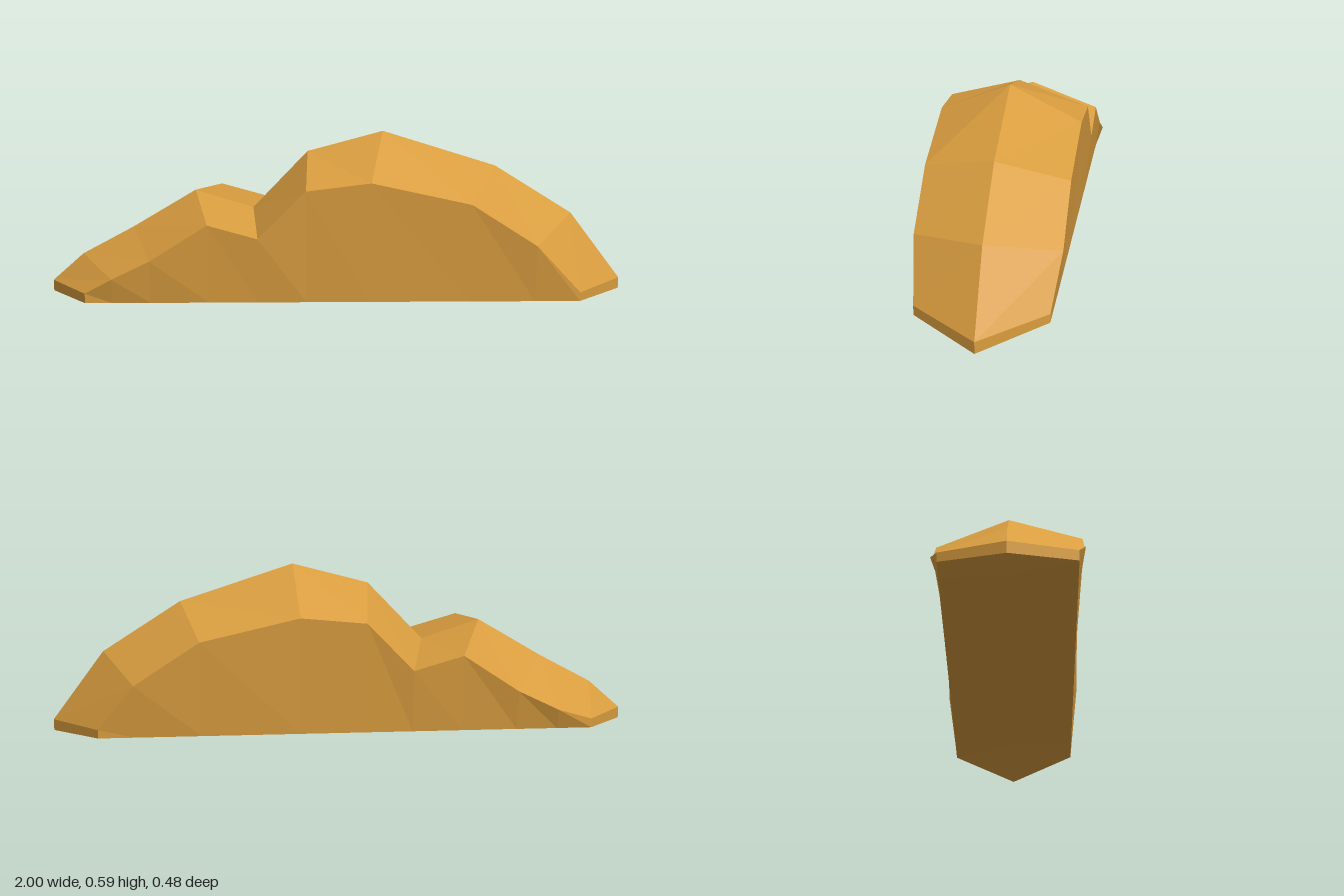
import * as THREE from 'three';

export function createModel() {
  const ochre = new THREE.MeshStandardMaterial({ color: 0xd99d3f });
  ochre.name = 'ochre';

  // Stations from the low end to the tall end: [x, y]
  const ridge = [[-1, 0.04], [-0.89, 0.14], [-0.71, 0.24], [-0.49, 0.375], [-0.29, 0.31],
    [-0.1, 0.515], [0.16, 0.587], [0.55, 0.46], [0.82, 0.285], [1, 0.04]];
  const front = [[-0.865, 0.075], [-0.77, 0.135], [-0.64, 0.2], [-0.44, 0.33], [-0.27, 0.28],
    [-0.105, 0.45], [0.115, 0.478], [0.455, 0.4], [0.68, 0.25], [0.835, 0.072]];
  const back = [[-0.86, 0.072], [-0.74, 0.115], [-0.6, 0.185], [-0.41, 0.315], [-0.24, 0.265],
    [-0.08, 0.435], [0.145, 0.458], [0.485, 0.38], [0.71, 0.232], [0.835, 0.07]];
  const last = ridge.length - 1;

  // Six-point cross-section: ridge, front shoulder, front base, keel, back base, back shoulder
  const rings = ridge.map(([x, y], i) => {
    const end = i === 0 || i === last;
    const [fx, fy] = front[i], [bx, by] = back[i];
    const keelX = end ? x : THREE.MathUtils.clamp(x, -0.77, 0.7);
    return [
      [x, y, 0],
      [fx, fy, end ? 0.219 : 0.242],
      [fx, 0.04, 0.219],
      [keelX, end ? 0 : 0.04, 0],
      [bx, 0.04, -0.216],
      [bx, by, end ? -0.216 : -0.242],
    ];
  });

  // Helper: mesh of flat quads
  const quadMesh = (name, quads) => {
    const pos = quads.flatMap(([a, b, c, d]) => [a, b, c, a, c, d]).flat();
    const geo = new THREE.BufferGeometry();
    geo.setAttribute('position', new THREE.Float32BufferAttribute(pos, 3));
    geo.computeVertexNormals();
    const mesh = new THREE.Mesh(geo, ochre);
    mesh.name = name;
    return mesh;
  };

  // Strip of quads along the length between two section points
  const strip = (j) => {
    const k = (j + 1) % 6, quads = [];
    for (let i = 0; i < last; i++) {
      quads.push([rings[i][j], rings[i][k], rings[i + 1][k], rings[i + 1][j]]);
    }
    return quads;
  };

  // Pointed ends
  const [a, b] = [rings[0], rings[last]];
  const lowTip = [[a[0], a[3], a[2], a[1]], [a[0], a[5], a[4], a[3]]];
  const tallTip = [[b[0], b[1], b[2], b[3]], [b[0], b[3], b[4], b[5]]];

  const group = new THREE.Group();
  group.name = 'humpedBlock';
  group.add(
    quadMesh('frontSlope', strip(0)),
    quadMesh('frontSide', strip(1)),
    quadMesh('underside', [...strip(2), ...strip(3)]),
    quadMesh('backSide', strip(4)),
    quadMesh('backSlope', strip(5)),
    quadMesh('lowTip', lowTip),
    quadMesh('tallTip', tallTip),
  );
  return group;
}
